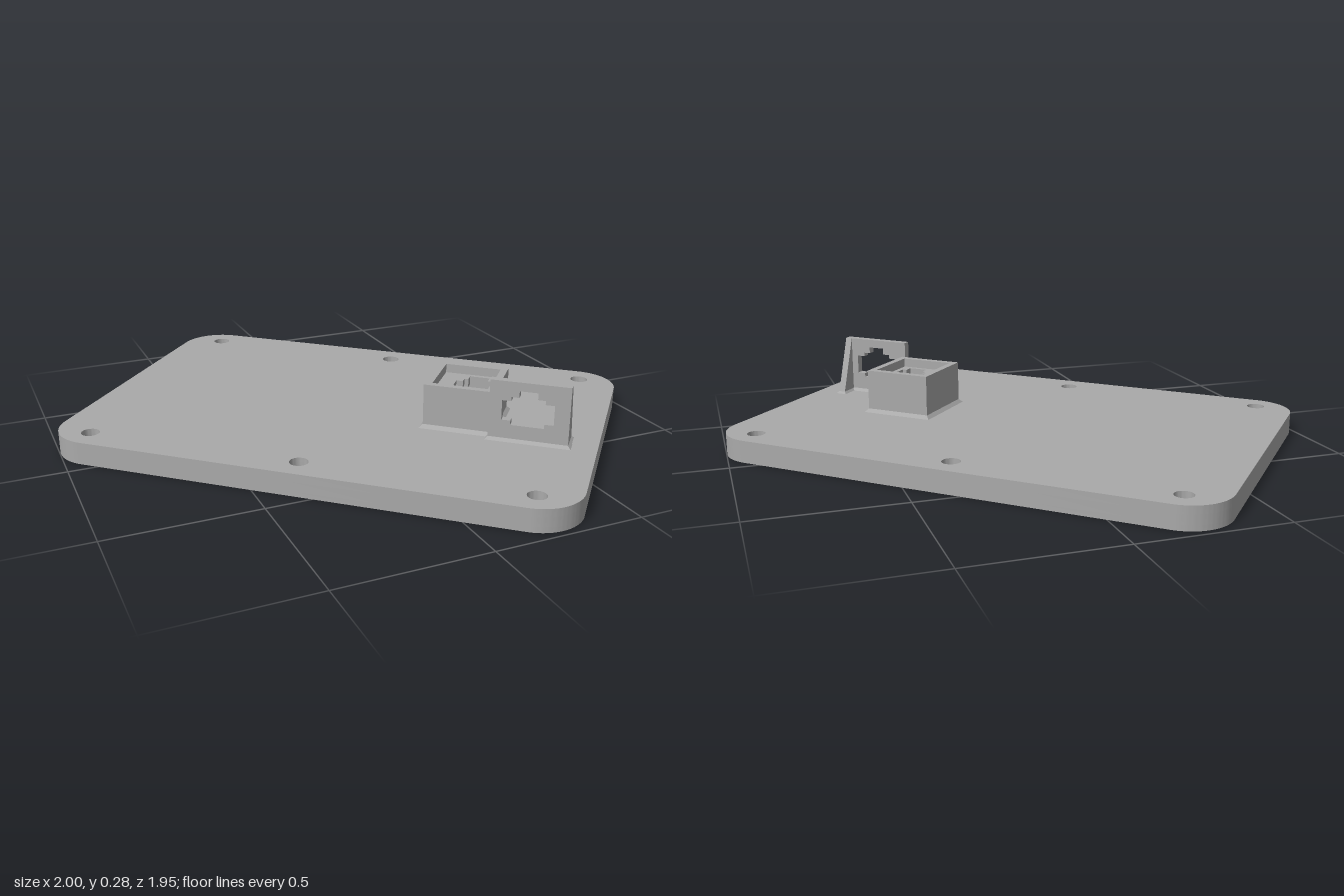
import * as THREE from 'three';
import { toCreasedNormals } from 'three/addons/utils/BufferGeometryUtils.js';

// Local frame: x runs along the plate's length, z across it; the group is turned at the end.
const TURN = -42 * Math.PI / 180;
const PLATE = { a: 0.88, b: 0.605, r: 0.148, top: 0.077 };
const BOX = { u: 0.418, a: 0.12, b: 0.125, top: 0.231 };
const CAVITY = { a: 0.096, b: 0.101 };

// Half outline of the stepped socket opening: [half width, height]
const KEY = [[0.055, 0.135], [0.055, 0.15], [0.085, 0.15], [0.085, 0.218],
  [0.055, 0.218], [0.055, 0.232], [0.03, 0.232], [0.03, 0.255]];

function roundedRect(a, b, r) {
  const s = new THREE.Shape();
  s.absarc(a - r, b - r, r, 0, Math.PI / 2);
  s.absarc(r - a, b - r, r, Math.PI / 2, Math.PI);
  s.absarc(r - a, r - b, r, Math.PI, Math.PI * 1.5);
  s.absarc(a - r, r - b, r, Math.PI * 1.5, Math.PI * 2);
  s.closePath();
  return s;
}

function rect(u, a, b) {
  return new THREE.Shape([[-a, -b], [a, -b], [a, b], [-a, b]]
    .map(([x, y]) => new THREE.Vector2(u + x, y)));
}

function socketHole(map) {
  const right = KEY.map(([w, h]) => map(w, h));
  const left = KEY.map(([w, h]) => map(-w, h)).reverse();
  return new THREE.Path([...right, ...left]);
}

function extrude(shape, depth) {
  return new THREE.ExtrudeGeometry(shape, { depth, bevelEnabled: false, curveSegments: 16 });
}

// Horizontal slab between two heights
function slab(shape, y0, y1) {
  const g = extrude(shape, y1 - y0).rotateX(-Math.PI / 2).translate(0, y0, 0);
  return toCreasedNormals(g, 0.5);
}

// Four sloping sides, wider at the bottom; inward turns them to face the middle
function flare(u, v, a, b, y0, h, grow, inward = false) {
  const g = new THREE.BoxGeometry(2 * a, h, 2 * b);
  const p = g.attributes.position;
  for (let i = 0; i < p.count; i++) {
    if (p.getY(i) < 0) {
      p.setX(i, p.getX(i) + Math.sign(p.getX(i)) * grow);
      p.setZ(i, p.getZ(i) + Math.sign(p.getZ(i)) * grow);
    }
  }
  const index = Array.from(g.index.array);
  index.splice(12, 12); // drop top and bottom
  if (inward) index.reverse();
  g.setIndex(index);
  g.clearGroups();
  const open = g.toNonIndexed();
  open.computeVertexNormals();
  return open.translate(u, y0 + h / 2, v);
}

export function createModel() {
  const model = new THREE.Group();
  model.name = 'socketPlate';
  const body = new THREE.Group();
  body.name = 'body';
  body.rotation.y = TURN;
  model.add(body);

  const grey = new THREE.MeshStandardMaterial({ color: 0xaaaaaa });
  grey.name = 'grey';
  const add = (name, geometry) => {
    const m = new THREE.Mesh(geometry, grey);
    m.name = name;
    body.add(m);
  };

  // Plate layers: pocket mouth, screw head recesses, then narrow screw holes
  const layer = (name, y0, y1, holeR, grow) => {
    const s = roundedRect(PLATE.a, PLATE.b, PLATE.r);
    for (const u of [-0.745, 0, 0.745]) {
      for (const v of [-0.517, 0.517]) {
        s.holes.push(new THREE.Path().absarc(u, v, holeR, 0, Math.PI * 2));
      }
    }
    s.holes.push(rect(BOX.u, CAVITY.a + grow, CAVITY.b + grow));
    add(name, slab(s, y0, y1));
  };
  layer('plateBottom', 0, 0.018, 0.048, 0.018);
  layer('plateMiddle', 0.018, 0.05, 0.048, 0);
  layer('plateTop', 0.05, PLATE.top, 0.031, 0);
  add('pocketChamfer', flare(BOX.u, 0, CAVITY.a, CAVITY.b, 0, 0.018, 0.018, true));

  // Hollow box with a recessed floor that holds the socket opening
  const walls = rect(BOX.u, BOX.a, BOX.b);
  walls.holes.push(rect(BOX.u, CAVITY.a, CAVITY.b));
  add('boxWalls', slab(walls, PLATE.top, BOX.top));
  const floor = rect(BOX.u, CAVITY.a, CAVITY.b);
  floor.holes.push(socketHole((w, h) => new THREE.Vector2(0.63 - h, w)));
  add('boxFloor', slab(floor, 0.17, 0.2));
  add('boxFoot', flare(BOX.u, 0, BOX.a, BOX.b, PLATE.top, 0.012, 0.012));

  // Upright wall with the same opening
  const u0 = 0.525, u1 = 0.787, v0 = 0.125, v1 = 0.152, top = 0.285;
  const mid = (u0 + u1) / 2;
  const upright = new THREE.Shape([[u0, PLATE.top], [u1, PLATE.top], [u1, top], [u0, top]]
    .map(([x, y]) => new THREE.Vector2(x, y)));
  upright.holes.push(socketHole((w, h) => new THREE.Vector2(mid - 0.004 + w, h)));
  add('uprightWall', extrude(upright, v1 - v0).translate(0, 0, v0));
  add('uprightFoot', flare(mid, (v0 + v1) / 2, (u1 - u0) / 2, (v1 - v0) / 2, PLATE.top, 0.01, 0.01));

  // Triangular gusset bracing the outer end of the wall
  const brace = new THREE.Shape([[v0, PLATE.top], [v0, top], [0.058, PLATE.top]]
    .map(([x, y]) => new THREE.Vector2(x, y)));
  add('gusset', extrude(brace, 0.025).rotateY(-Math.PI / 2).translate(u1, 0, 0));
  add('gussetFoot', flare(u1 - 0.0125, 0.095, 0.0125, 0.034, PLATE.top, 0.008, 0.008));

  return model;
}
